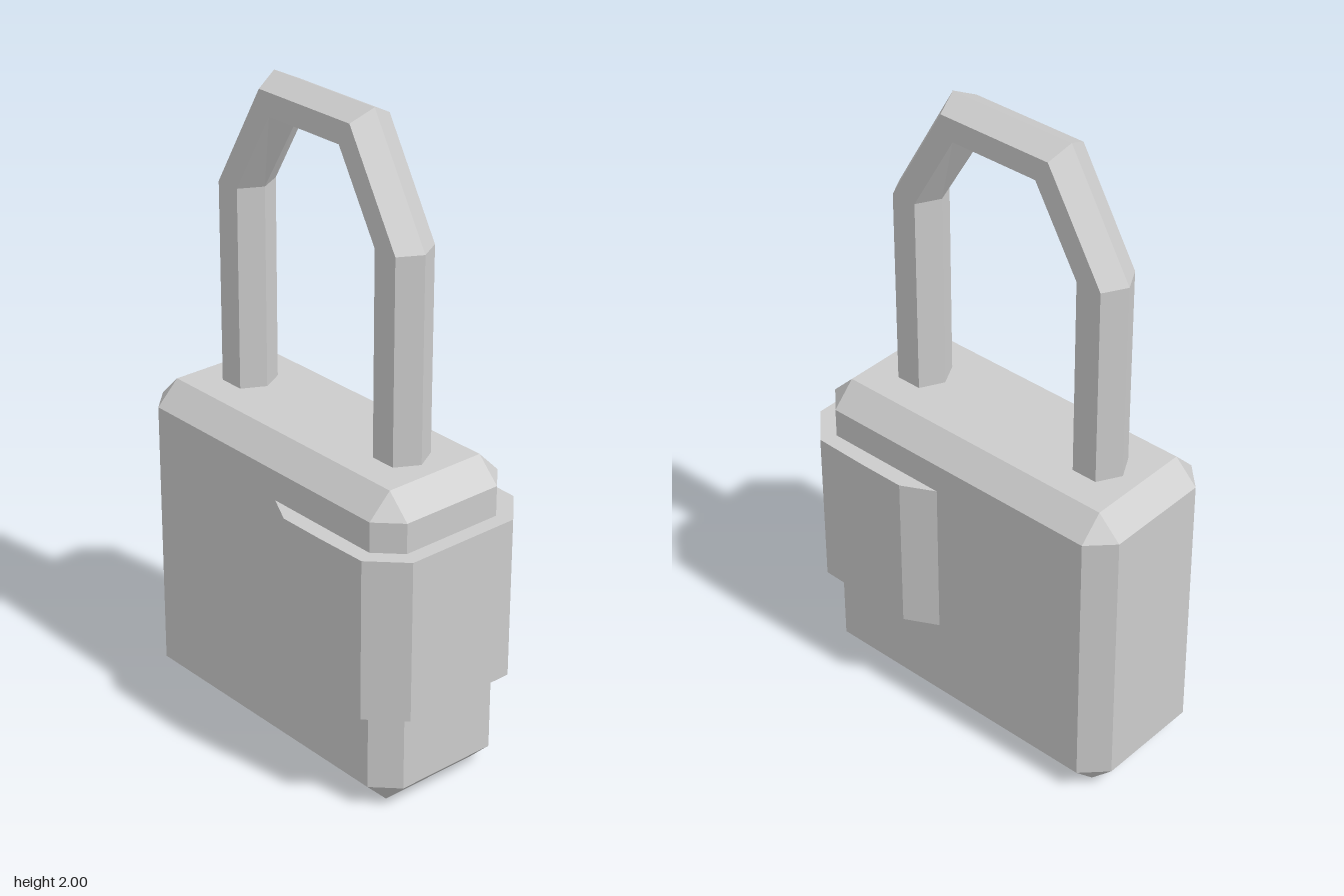
import * as THREE from 'three';
import { ConvexGeometry } from 'three/addons/geometries/ConvexGeometry.js';

const material = new THREE.MeshStandardMaterial({ color: 0xcccccc, flatShading: true });
const CENTRE_X = -0.025;

function part(name, geometry) {
  const mesh = new THREE.Mesh(geometry, material);
  mesh.name = name;
  return mesh;
}

// Box with every edge cut by a bevel c, leaving triangular corners
function bevelledBox(w, h, d, c) {
  const points = [];
  for (const sx of [-1, 1]) for (const sy of [-1, 1]) for (const sz of [-1, 1]) {
    const x = w / 2, y = h / 2, z = d / 2;
    points.push(
      new THREE.Vector3(sx * x, sy * (y - c), sz * (z - c)),
      new THREE.Vector3(sx * (x - c), sy * y, sz * (z - c)),
      new THREE.Vector3(sx * (x - c), sy * (y - c), sz * z)
    );
  }
  return new ConvexGeometry(points);
}

// Hexagonal bar swept along an angular arch
function shackleGeometry() {
  // Per profile corner: leg half-span, top half-span, top height, depth
  const profile = [
    [0.418, 0.21, 2.0, 0],
    [0.378, 0.19, 1.965, 0.072],
    [0.295, 0.147, 1.895, 0.072],
    [0.257, 0.125, 1.86, 0],
    [0.295, 0.147, 1.895, -0.072],
    [0.378, 0.19, 1.965, -0.072],
  ];
  const rings = [
    ([leg, , , z]) => [-leg, 0.95, z],
    ([leg, , , z]) => [-leg, 1.64, z],
    ([, top, y, z]) => [-top, y, z],
    ([, top, y, z]) => [top, y, z],
    ([leg, , , z]) => [leg, 1.64, z],
    ([leg, , , z]) => [leg, 0.95, z],
  ];
  const n = profile.length;
  const positions = rings.flatMap((ring) => profile.flatMap(ring));
  const index = [];
  for (let j = 0; j < rings.length - 1; j++) {
    for (let k = 0; k < n; k++) {
      const a = j * n + k, b = j * n + (k + 1) % n;
      index.push(a, b, a + n, b, b + n, a + n);
    }
  }
  const indexed = new THREE.BufferGeometry();
  indexed.setAttribute('position', new THREE.Float32BufferAttribute(positions, 3));
  indexed.setIndex(index);
  const geometry = indexed.toNonIndexed();
  geometry.computeVertexNormals();
  return geometry;
}

// Band wrapped around one end of the body, tapering into its faces
function bandGeometry() {
  const half = [[0.04, 0.24], [0.145, 0.294], [0.295, 0.294], [0.47, 0.29], [0.57, 0.19]];
  const mirrored = half.map(([x, z]) => [x, -z]).reverse();
  const outline = [...half, ...mirrored].map(([x, z]) => new THREE.Vector2(x, z));
  const geometry = new THREE.ExtrudeGeometry(new THREE.Shape(outline), { depth: 0.51, bevelEnabled: false });
  geometry.rotateX(-Math.PI / 2);
  return geometry;
}

export function createModel() {
  const group = new THREE.Group();
  group.name = 'padlock';

  const body = part('body', bevelledBox(1.094, 1.01, 0.485, 0.073));
  body.position.set(CENTRE_X, 0.505, 0);

  const shackle = part('shackle', shackleGeometry());
  shackle.position.x = CENTRE_X;

  const band = part('sideBand', bandGeometry());
  band.position.y = 0.333;

  group.add(body, shackle, band);
  return group;
}
